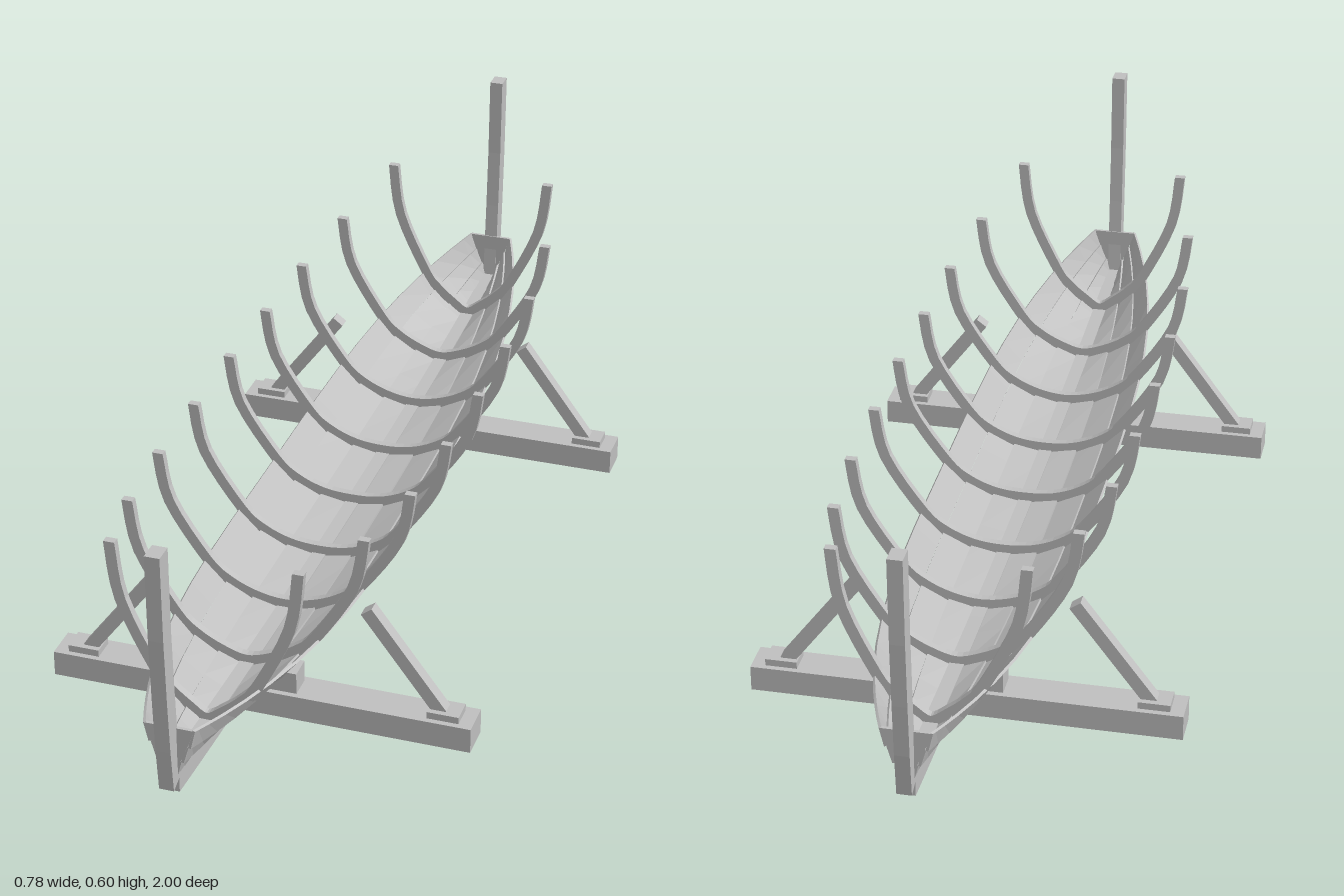
import * as THREE from 'three';

const wood = new THREE.MeshStandardMaterial({ color: 0xbfbfbf, flatShading: true });
wood.name = 'plain wood grey';

const END = 0.955; // half length of the planking
// strake edges, keel to sheer, as [x, y] amidships and at the ends
const MID = [[0.008, 0.13], [0.062, 0.136], [0.115, 0.157], [0.158, 0.194]];
const TIP = [[0.006, 0.155], [0.018, 0.185], [0.031, 0.216], [0.043, 0.25]];

function hullPoint(k, z) {
  const t = Math.abs(z) / END;
  const x = THREE.MathUtils.lerp(MID[k][0], TIP[k][0], t ** 3.2);
  const y = THREE.MathUtils.lerp(MID[k][1], TIP[k][1], t ** 2.2);
  return new THREE.Vector2(x, y);
}

function addMesh(parent, name, geometry) {
  const mesh = new THREE.Mesh(geometry, wood);
  mesh.name = name;
  parent.add(mesh);
  return mesh;
}

function addBox(parent, name, w, h, d, x, y, z) {
  const mesh = addMesh(parent, name, new THREE.BoxGeometry(w, h, d));
  mesh.position.set(x, y, z);
  return mesh;
}

// closed solid through counter-clockwise rings of [x, y], with z rising
function loft(ringAt, segments, halfLength) {
  const pos = [], index = [];
  let n = 0;
  for (let i = 0; i <= segments; i++) {
    const z = halfLength * Math.sin((i / segments - 0.5) * Math.PI);
    const ring = ringAt(z);
    n = ring.length;
    ring.forEach((p) => pos.push(p.x, p.y, z));
  }
  for (let i = 0; i < segments; i++) {
    for (let j = 0; j < n; j++) {
      const a = i * n + j, b = i * n + (j + 1) % n;
      index.push(a, b, b + n, a, b + n, a + n);
    }
  }
  const last = segments * n;
  for (let j = 1; j < n - 1; j++) {
    index.push(0, j + 1, j, last, last + j, last + j + 1);
  }
  const g = new THREE.BufferGeometry();
  g.setAttribute('position', new THREE.Float32BufferAttribute(pos, 3));
  g.setIndex(index);
  const flat = g.toNonIndexed();
  flat.computeVertexNormals();
  return flat;
}

// thin plank whose lower edge laps over the one below
function strakeRing(k, side, z) {
  const lo = hullPoint(k, z), hi = hullPoint(k + 1, z);
  const d = hi.clone().sub(lo).normalize();
  const out = new THREE.Vector2(d.y, -d.x);
  const ring = [
    lo.clone().addScaledVector(out, 0.006),
    hi.clone().addScaledVector(out, 0.002),
    hi.clone().addScaledVector(out, -0.003),
    lo.clone().addScaledVector(out, 0.001),
  ];
  ring.forEach((p) => { p.x *= side; });
  return side > 0 ? ring : ring.reverse();
}

// U-shaped frame: a band of constant width along a smooth curve
function ribGeometry(z, tipX, tipY) {
  const half = [1, 2, 3].map((k) => hullPoint(k, z).add(new THREE.Vector2(-0.006, 0.008)));
  const sheer = half[2];
  half.push(new THREE.Vector2(
    THREE.MathUtils.lerp(sheer.x, tipX, 0.78),
    THREE.MathUtils.lerp(sheer.y, tipY, 0.53)));
  half.push(new THREE.Vector2(tipX, tipY));
  const mirrored = half.map((p) => new THREE.Vector2(-p.x, p.y)).reverse();
  const base = new THREE.Vector2(0, hullPoint(0, z).y + 0.009);
  const curve = new THREE.SplineCurve([...mirrored, base, ...half]);
  const outer = [], inner = [];
  for (let i = 0; i <= 40; i++) {
    const p = curve.getPoint(i / 40), t = curve.getTangent(i / 40);
    const n = new THREE.Vector2(t.y, -t.x);
    outer.push(p.clone().addScaledVector(n, 0.01));
    inner.unshift(p.clone().addScaledVector(n, -0.01));
  }
  // level the tips
  [outer[0], outer[40], inner[0], inner[40]].forEach((p) => { p.y = tipY; });
  const g = new THREE.ExtrudeGeometry(new THREE.Shape([...outer, ...inner]),
    { depth: 0.014, bevelEnabled: false });
  return g.translate(0, 0, z - 0.007);
}

export function createModel() {
  const model = new THREE.Group();
  model.name = 'boatFrameOnStocks';

  // keel, rising gently to both ends
  addMesh(model, 'keel', loft((z) => {
    const rise = 0.03 * (Math.abs(z) / 0.95) ** 2.2;
    return [[-0.013, 0.09], [0.013, 0.09], [0.013, 0.132], [-0.013, 0.132]]
      .map(([x, y]) => new THREE.Vector2(x, y + rise));
  }, 20, 0.95));

  // lapped planking
  const planking = new THREE.Group();
  planking.name = 'planking';
  model.add(planking);
  for (const side of [1, -1]) {
    for (let k = 0; k < 3; k++) {
      addMesh(planking, 'strake', loft((z) => strakeRing(k, side, z), 24, END));
    }
  }

  // end closures and stem posts
  const endHalf = [0, 1, 2, 3].map((k) => hullPoint(k, END));
  const endShape = new THREE.Shape([
    ...endHalf, ...endHalf.map((p) => new THREE.Vector2(-p.x, p.y)).reverse()]);
  const stemShape = new THREE.Shape([
    [0.945, 0.15], [0.975, 0.138], [0.984, 0.22], [0.991, 0.32], [0.997, 0.44], [1, 0.598],
    [0.965, 0.598], [0.963, 0.44], [0.957, 0.32], [0.95, 0.22],
  ].map(([z, y]) => new THREE.Vector2(z, y)));
  for (const end of [1, -1]) {
    const endGroup = new THREE.Group();
    endGroup.name = end > 0 ? 'frontEnd' : 'backEnd';
    addMesh(endGroup, 'endClosure', new THREE.ExtrudeGeometry(endShape,
      { depth: 0.006, bevelEnabled: false }).translate(0, 0, END - 0.005));
    addMesh(endGroup, 'stemPost', new THREE.ExtrudeGeometry(stemShape,
      { depth: 0.026, bevelEnabled: false }).translate(0, 0, -0.013).rotateY(-Math.PI / 2));
    if (end < 0) endGroup.rotation.y = Math.PI;
    model.add(endGroup);
  }

  // frames, taller and narrower toward the ends
  const tips = [[0.243, 0.404], [0.24, 0.405], [0.233, 0.411], [0.212, 0.429], [0.164, 0.47]];
  for (let i = -4; i <= 4; i++) {
    const [x, y] = tips[Math.abs(i)];
    addMesh(model, 'rib', ribGeometry(i * 0.195, x, y));
  }

  // stocks: ground beam, keel block, pads and slanted props
  for (const z of [0.505, -0.505]) {
    const stock = new THREE.Group();
    stock.name = 'stock';
    stock.position.z = z;
    model.add(stock);
    addBox(stock, 'groundBeam', 0.78, 0.048, 0.066, 0, 0.024, 0);
    addBox(stock, 'keelBlock', 0.136, 0.042, 0.045, 0, 0.068, 0);
    for (const side of [1, -1]) {
      addBox(stock, 'propPad', 0.058, 0.014, 0.045, side * 0.336, 0.054, 0);
      const from = new THREE.Vector2(0.33, 0.055), to = new THREE.Vector2(0.193, 0.238);
      const mid = from.clone().add(to).multiplyScalar(0.5);
      const prop = addBox(stock, 'prop', 0.024, from.distanceTo(to), 0.024, side * mid.x, mid.y, 0);
      prop.rotation.z = side * Math.atan2(from.x - to.x, to.y - from.y);
    }
  }
  return model;
}
